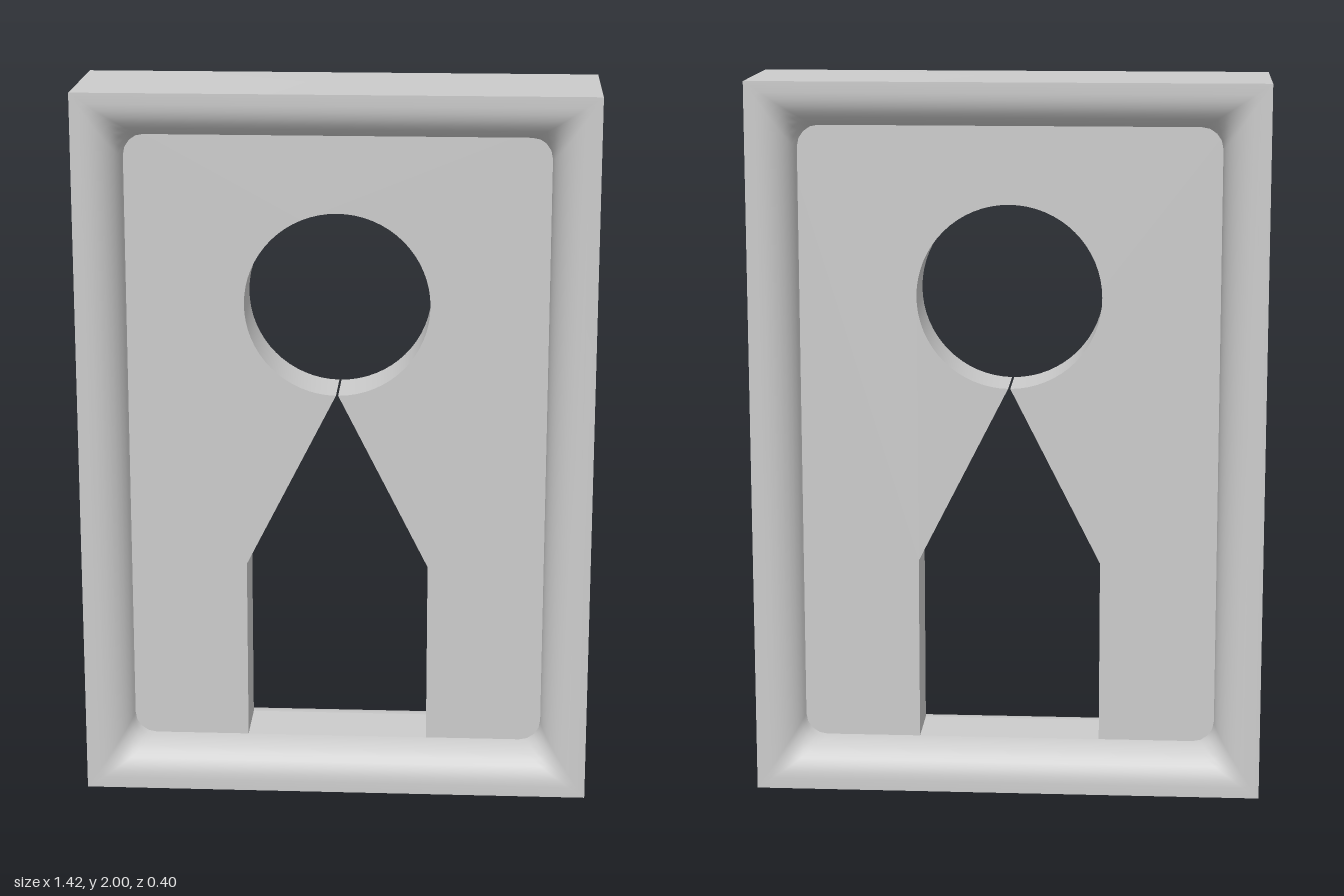
import * as THREE from 'three';
import { toCreasedNormals } from 'three/addons/utils/BufferGeometryUtils.js';

const W = 0.71, H = 1, D = 0.2;          // half sizes of the slab
const WEB = 0.0865;                      // half thickness of the recessed panel
const RIM = 0.127;                       // width of the raised border
const FLAT = 0.03;                       // flat part of the border before it rolls inward

// Rectangle with rounded corners, inset from the outer edge, counter-clockwise
function ring(inset, z) {
  const r = Math.max(0.0005, 0.06 * inset / RIM);
  const x = W - inset - r, y = H - inset - r, n = 4, pts = [];
  [[1, 1], [-1, 1], [-1, -1], [1, -1]].forEach(([sx, sy], c) => {
    for (let i = 0; i <= n; i++) {
      const a = (c + i / n) * Math.PI / 2;
      pts.push([sx * x + r * Math.cos(a), H + sy * y + r * Math.sin(a), z]);
    }
  });
  return pts;
}

function frameGeometry() {
  // Border cross-section: panel edge, convex roll, flat lip, outer edge
  const profile = [];
  const steps = 8;
  for (let i = steps; i >= 0; i--) {
    const a = (i / steps) * Math.PI / 2;
    profile.push([FLAT + (RIM - FLAT) * Math.sin(a), WEB + (D - WEB) * Math.cos(a)]);
  }
  profile.push([0, D]);
  const back = profile.map(([d, z]) => [d, -z]).reverse();
  const rings = [...profile, ...back].map(([d, z]) => ring(d, z));
  const n = rings[0].length, index = [];
  for (let i = 0; i < rings.length - 1; i++) {
    for (let j = 0; j < n; j++) {
      const k = (j + 1) % n;
      const a = i * n + j, b = a + n, a2 = i * n + k, b2 = a2 + n;
      index.push(a, b, b2, a, b2, a2);
    }
  }
  const g = new THREE.BufferGeometry();
  g.setAttribute('position', new THREE.Float32BufferAttribute(rings.flat(2), 3));
  g.setIndex(index);
  return toCreasedNormals(g, 0.7);
}

function panelGeometry() {
  // The panel runs a little under the border
  const x = W - 0.06, y0 = 0.06, y1 = 2 * H - 0.06;
  const shape = new THREE.Shape([[-x, y0], [x, y0], [x, y1], [-x, y1]].map(p => new THREE.Vector2(...p)));
  // Round opening joined by a narrow slit to a pointed doorway
  const r = 0.257, cy = 1.4, gap = 0.012, w = 0.256, hole = [];
  for (let i = 0; i <= 64; i++) {
    const a = -Math.PI / 2 + gap + (i / 64) * (2 * Math.PI - 2 * gap);
    hole.push(new THREE.Vector2(r * Math.cos(a), cy + r * Math.sin(a)));
  }
  [[-w, 0.645], [-w, RIM], [w, RIM], [w, 0.645]].forEach(p => hole.push(new THREE.Vector2(...p)));
  shape.holes.push(new THREE.Path(hole));
  const g = new THREE.ExtrudeGeometry(shape, { depth: 2 * WEB, bevelEnabled: false });
  g.translate(0, 0, -WEB);
  return toCreasedNormals(g, 0.4);
}

export function createModel() {
  const group = new THREE.Group();
  const material = new THREE.MeshStandardMaterial({ color: 0xcccccc });
  const add = (name, geometry) => {
    const mesh = new THREE.Mesh(geometry, material);
    mesh.name = name;
    group.add(mesh);
  };
  add('frame', frameGeometry());
  add('recessedPanel', panelGeometry());
  return group;
}
